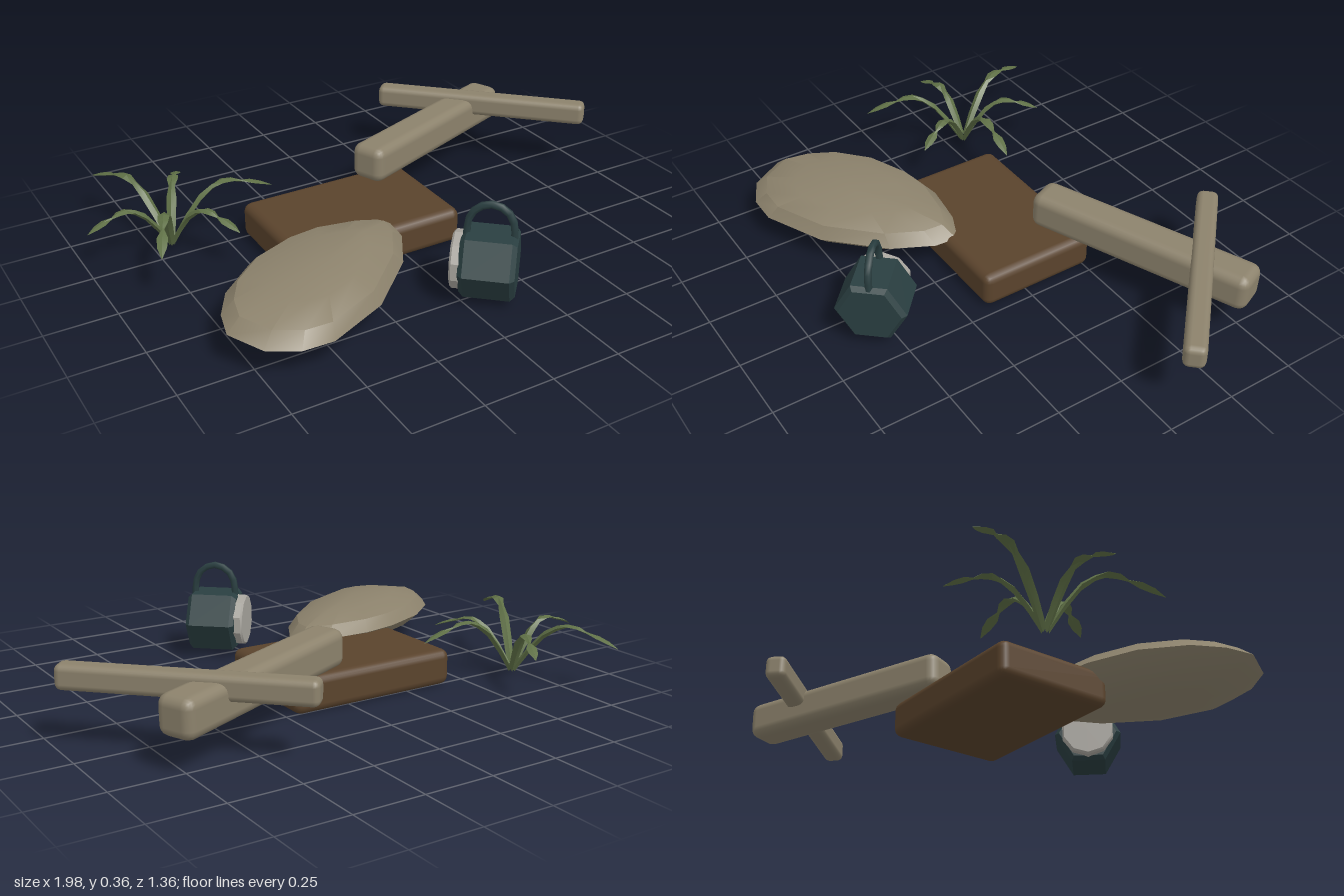
import * as THREE from 'three';
import { toCreasedNormals } from 'three/addons/utils/BufferGeometryUtils.js';
import { RoundedBoxGeometry } from 'three/addons/geometries/RoundedBoxGeometry.js';

const V = (x, y, z) => new THREE.Vector3(x, y, z);

// Skin a list of rings (equal point counts, counter-clockwise seen from the far end)
function loft(rings, crease) {
  const n = rings[0].length;
  const pos = rings.flat().flatMap((p) => p.toArray());
  const index = [];
  for (let r = 0; r < rings.length - 1; r++) {
    for (let i = 0; i < n; i++) {
      const a = r * n + i, b = r * n + ((i + 1) % n);
      index.push(a, b, b + n, a, b + n, a + n);
    }
  }
  const geo = new THREE.BufferGeometry();
  geo.setAttribute('position', new THREE.Float32BufferAttribute(pos, 3));
  geo.setIndex(index);
  return toCreasedNormals(geo, crease);
}

export function createModel() {
  const model = new THREE.Group();
  const material = (name, color) => {
    const m = new THREE.MeshStandardMaterial({ color });
    m.name = name;
    return m;
  };
  const brown = material('earth brown', 0x5a432c);
  const stone = material('weathered tan', 0x8c826c);
  const teal = material('dark teal', 0x2a3f41);
  const pale = material('pale grey', 0xa9a69f);
  const green = material('olive green', 0x5f7046);

  const add = (name, geo, mat, parent = model) => {
    const mesh = new THREE.Mesh(geo, mat);
    mesh.name = name;
    parent.add(mesh);
    return mesh;
  };

  // Base slab
  add('slab', new RoundedBoxGeometry(0.65, 0.13, 0.445, 2, 0.03), brown)
    .position.set(-0.105, 0.065, -0.05);

  // Two crossed beams
  const beam = (name, from, to, width, height, bevel) => {
    const dir = to.clone().sub(from);
    const mesh = add(name, new RoundedBoxGeometry(width, height, dir.length(), 2, bevel), stone);
    mesh.position.copy(from).add(to).multiplyScalar(0.5);
    mesh.lookAt(to);
  };
  beam('largeBeam', V(0.03, 0.203, -0.18), V(0.795, 0.18, -0.508), 0.135, 0.135, 0.035);
  beam('smallBeam', V(0.38, 0.232, -0.665), V(0.975, 0.232, -0.085), 0.075, 0.085, 0.022);

  // Flat boulder: one outline, scaled at each level and slightly tilted
  const outline = [
    [-0.06, 0.11], [-0.14, 0.08], [-0.3, 0.06], [-0.43, 0.08], [-0.6, 0.15], [-0.73, 0.26],
    [-0.79, 0.36], [-0.815, 0.46], [-0.75, 0.58], [-0.65, 0.63], [-0.54, 0.63], [-0.32, 0.53],
    [-0.13, 0.35], [-0.05, 0.21], [-0.04, 0.13],
  ];
  const levels = [
    [0, -0.078], [0.45, -0.07], [0.8, -0.043], [1, 0], [0.87, 0.042], [0.55, 0.071], [0, 0.083],
  ];
  const boulder = levels.map(([s, dy]) => outline.map(([x, z]) => {
    const dx = (x + 0.43) * s, dz = (z - 0.35) * s;
    return V(-0.43 + dx, 0.12 + dy - 0.03 * dx - 0.06 * dz, 0.35 + dz);
  }));
  add('boulder', loft(boulder, 0.5), stone);

  // Six-sided pot lying on its side, with lid and carrying handle
  const pot = new THREE.Group();
  pot.name = 'pot';
  pot.position.set(0.09, 0.138, 0.53);
  pot.rotation.y = Math.atan2(-0.74, -0.67);
  model.add(pot);
  const turned = (profile, sides, start) => toCreasedNormals(
    new THREE.LatheGeometry(profile.map(([r, y]) => new THREE.Vector2(r, y)), sides, start)
      .rotateX(Math.PI / 2), 0.6);
  add('potBody', turned([[0, -0.093], [0.108, -0.093], [0.124, -0.077], [0.124, 0.077],
    [0.108, 0.093], [0, 0.093]], 6, Math.PI / 6), teal, pot);
  add('potLid', turned([[0, 0.08], [0.099, 0.08], [0.099, 0.116], [0.092, 0.123], [0, 0.123]],
    10, 0), pale, pot);
  const handlePath = new THREE.CatmullRomCurve3([
    V(0, 0.09, -0.078), V(0, 0.15, -0.074), V(0, 0.19, -0.052), V(0, 0.21, -0.015),
    V(0, 0.21, 0.015), V(0, 0.19, 0.052), V(0, 0.15, 0.074), V(0, 0.09, 0.078),
  ]);
  add('potHandle', new THREE.TubeGeometry(handlePath, 10, 0.013, 6), teal, pot);

  // Plant: six arching fronds with pinched, pointed leaf sections
  const plant = new THREE.Group();
  plant.name = 'plant';
  plant.position.set(-0.69, 0.03, -0.31);
  model.add(plant);
  // distance along frond, height, half width, half thickness
  const frond = [
    [0.03, 0, 0.012, 0.016], [0.16, 0.4, 0.016, 0.016], [0.3, 0.75, 0.018, 0.014],
    [0.42, 0.92, 0.011, 0.01], [0.52, 1, 0.02, 0.006], [0.62, 0.99, 0.017, 0.005],
    [0.7, 0.93, 0.005, 0.004], [0.8, 0.88, 0.019, 0.005], [0.9, 0.81, 0.016, 0.004],
    [1, 0.72, 0.001, 0.001],
  ];
  // tip offset in x and z, peak height
  const tips = [
    [-0.15, -0.37, 0.19], [0.14, -0.27, 0.165], [-0.3, 0.02, 0.165],
    [-0.16, 0.35, 0.21], [0.15, 0.27, 0.165], [0.38, 0.04, 0.195],
  ];
  for (const [x, z, peak] of tips) {
    const len = Math.hypot(x, z);
    const side = V(z / len, 0, -x / len);
    const rings = frond.map(([t, h, w, k]) => {
      const c = V(x * t, h * peak, z * t);
      return [
        c.clone().addScaledVector(side, w), c.clone().add(V(0, k, 0)),
        c.clone().addScaledVector(side, -w), c.clone().add(V(0, -k, 0)),
      ];
    });
    add('frond', loft(rings, 0.4), green, plant);
  }

  return model;
}
